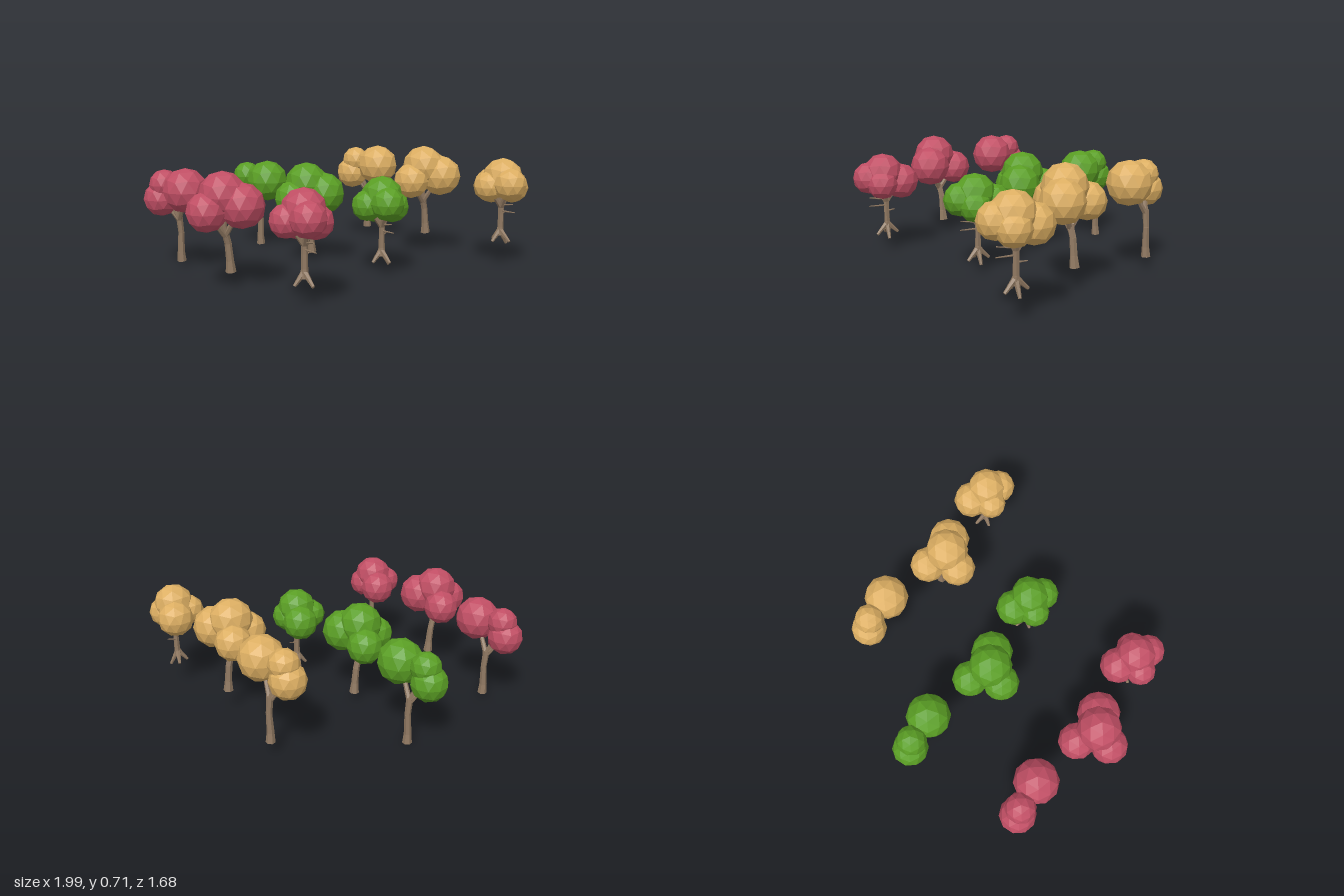
import * as THREE from 'three';

const barkMaterial = new THREE.MeshStandardMaterial({ color: 0x8f7861, flatShading: true });

// Unit faceted ball with a vertex at its pole
const ball = new THREE.IcosahedronGeometry(1, 1).rotateZ(-0.5536);

// Tapered six-sided limb between two points
function limb(name, a, b, r0, r1) {
  const from = new THREE.Vector3(...a), to = new THREE.Vector3(...b);
  const dir = to.clone().sub(from);
  const mesh = new THREE.Mesh(new THREE.CylinderGeometry(r1, r0, dir.length(), 6), barkMaterial);
  mesh.name = name;
  mesh.position.copy(from).add(to).multiplyScalar(0.5);
  mesh.quaternion.setFromUnitVectors(new THREE.Vector3(0, 1, 0), dir.normalize());
  return mesh;
}

// trunk: points [x, y, z, radius]; crown: balls [x, y, z, radius]
const trees = [
  {
    name: 'backTree',
    trunk: [[-0.07, 0, -0.68, 0.028], [-0.073, 0.06, -0.678, 0.022], [-0.07, 0.18, -0.675, 0.018], [-0.08, 0.285, -0.675, 0.02]],
    crown: [[-0.09, 0.457, -0.547, 0.134], [-0.16, 0.39, -0.74, 0.108], [-0.15, 0.478, -0.715, 0.091]],
  },
  {
    name: 'middleTree',
    trunk: [[-0.035, 0.055, -0.107, 0.03], [-0.04, 0.12, -0.105, 0.022], [-0.05, 0.22, -0.105, 0.02], [-0.07, 0.29, -0.1, 0.02]],
    crown: [[-0.09, 0.498, -0.078, 0.133], [-0.053, 0.41, -0.205, 0.11], [-0.19, 0.415, -0.077, 0.112], [-0.013, 0.443, -0.002, 0.128]],
  },
  {
    name: 'frontTree',
    trunk: [[0.123, 0.11, 0.395, 0.026], [0.125, 0.16, 0.395, 0.019], [0.125, 0.24, 0.395, 0.017], [0.125, 0.31, 0.395, 0.019]],
    crown: [[0.115, 0.467, 0.405, 0.122], [0.14, 0.408, 0.298, 0.111], [0.03, 0.42, 0.375, 0.092],
      [0.168, 0.41, 0.437, 0.096], [0.088, 0.44, 0.487, 0.1]],
    roots: [[0.172, 0.055, 0.405], [0.068, 0.075, 0.385], [0.13, 0.08, 0.467], [0.135, 0.08, 0.328]],
    twigs: [[[0.125, 0.262, 0.4], [0.12, 0.268, 0.51]], [[0.125, 0.3, 0.4], [0.11, 0.318, 0.5]], [[0.125, 0.225, 0.39], [0.185, 0.245, 0.37]]],
  },
];

function makeTree(spec, leafMaterial) {
  const tree = new THREE.Group();
  tree.name = spec.name;

  // Bent trunk
  const t = spec.trunk;
  for (let i = 0; i + 1 < t.length; i++) {
    tree.add(limb('trunk', t[i].slice(0, 3), t[i + 1].slice(0, 3), t[i][3], t[i + 1][3]));
  }

  // Branches from the fork into each ball of leaves
  const fork = t[t.length - 1].slice(0, 3);
  fork[1] -= 0.025;
  for (const [x, y, z, r] of spec.crown) {
    tree.add(limb('branch', fork, [x, y, z], 0.017, 0.009));
    const leaves = new THREE.Mesh(ball, leafMaterial);
    leaves.name = 'leafBall';
    leaves.position.set(x, y, z);
    leaves.scale.setScalar(r);
    tree.add(leaves);
  }

  // Spread roots and thin side twigs
  const foot = [t[0][0], t[0][1] + 0.035, t[0][2]];
  for (const tip of spec.roots ?? []) tree.add(limb('root', foot, tip, 0.018, 0.009));
  for (const [a, b] of spec.twigs ?? []) tree.add(limb('twig', a, b, 0.006, 0.003));
  return tree;
}

export function createModel() {
  const model = new THREE.Group();
  model.name = 'treeRows';

  // Three rows of the same trees, each with its own leaf colour
  const rows = [
    ['redRow', 0xc04e64, [-0.698, 0.033, 0.235]],
    ['greenRow', 0x5a9e24, [0, 0, 0]],
    ['goldRow', 0xdcae62, [0.732, 0.077, 0.25]],
  ];
  for (const [name, color, offset] of rows) {
    const row = new THREE.Group();
    row.name = name;
    row.position.set(...offset);
    const leafMaterial = new THREE.MeshStandardMaterial({ color, flatShading: true });
    for (const spec of trees) row.add(makeTree(spec, leafMaterial));
    model.add(row);
  }
  return model;
}
